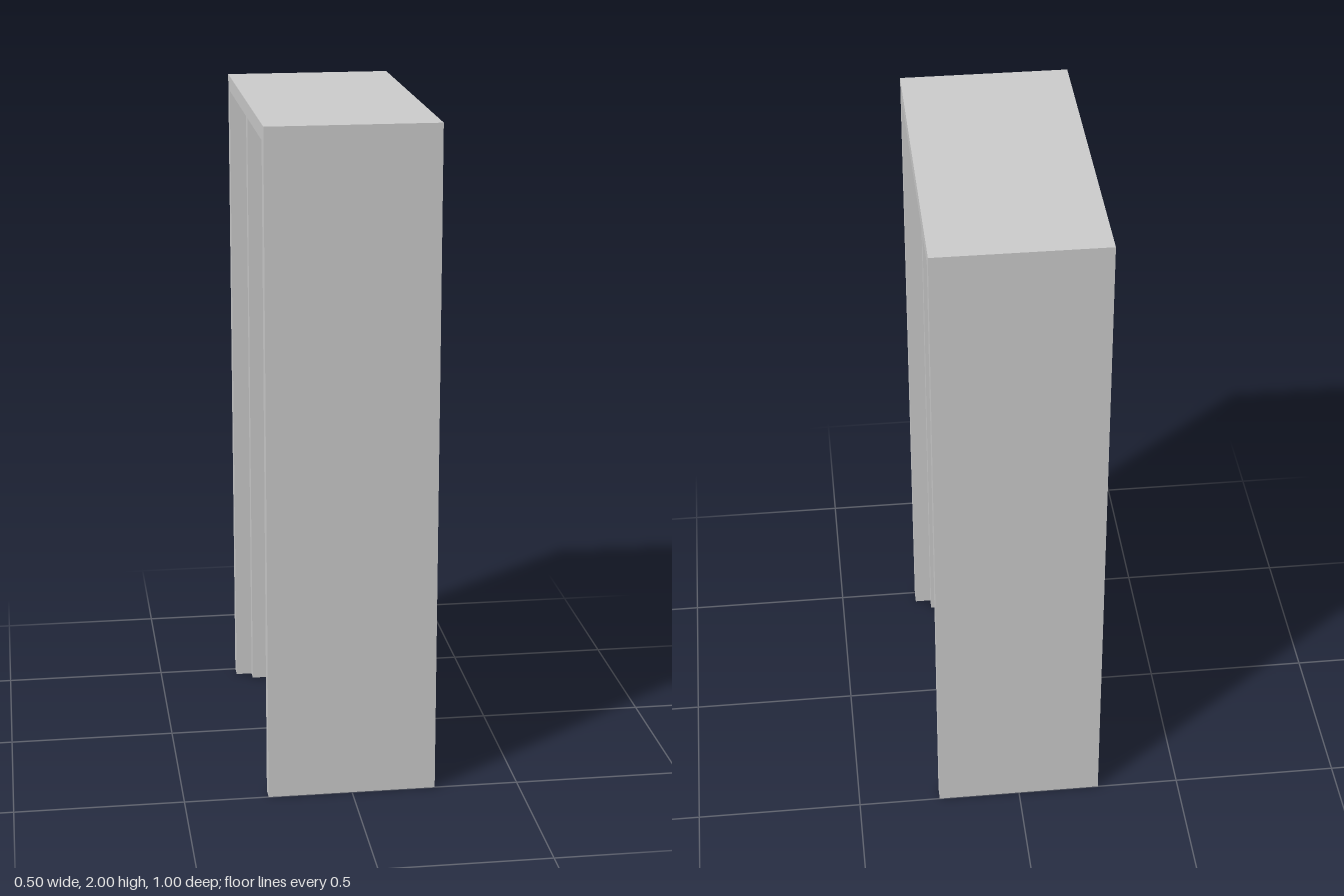
import * as THREE from 'three';

const material = new THREE.MeshStandardMaterial({ color: 0xcccccc });

function addMesh(parent, name, geometry, x = 0, y = 0, z = 0) {
  const mesh = new THREE.Mesh(geometry, material);
  mesh.name = name;
  mesh.position.set(x, y, z);
  parent.add(mesh);
  return mesh;
}

// Arch of two jambs and a head, open at the floor, centred along x
function archGeometry(outerHalf, outerTop, innerHalf, innerTop, depth) {
  const shape = new THREE.Shape([
    [-outerHalf, 0], [-innerHalf, 0], [-innerHalf, innerTop], [innerHalf, innerTop],
    [innerHalf, 0], [outerHalf, 0], [outerHalf, outerTop], [-outerHalf, outerTop],
  ].map(([u, v]) => new THREE.Vector2(u, v)));
  return new THREE.ExtrudeGeometry(shape, { depth, bevelEnabled: false })
    .translate(0, 0, -depth / 2)
    .rotateY(Math.PI / 2);
}

export function createModel() {
  const model = new THREE.Group();
  model.name = 'doorway';

  // Deep outer surround with a recessed inner lining
  addMesh(model, 'outerFrame', archGeometry(0.5, 2, 0.453, 1.955, 0.5));
  addMesh(model, 'innerFrame', archGeometry(0.453, 1.955, 0.415, 1.92, 0.4));

  // Door leaf
  addMesh(model, 'doorPanel', new THREE.BoxGeometry(0.1, 1.92, 0.83), 0, 0.96, 0);

  // Knob and stem on both faces
  for (const side of [1, -1]) {
    const handle = new THREE.Group();
    handle.name = side > 0 ? 'leftHandle' : 'rightHandle';
    handle.position.set(side * 0.05, 1, 0.27);
    const stem = new THREE.CylinderGeometry(0.011, 0.011, 0.04, 24).rotateZ(Math.PI / 2);
    const knob = new THREE.CylinderGeometry(0.03, 0.03, 0.04, 32).rotateZ(Math.PI / 2);
    addMesh(handle, 'knobStem', stem, side * 0.02);
    addMesh(handle, 'knob', knob, side * 0.06);
    model.add(handle);
  }

  return model;
}
